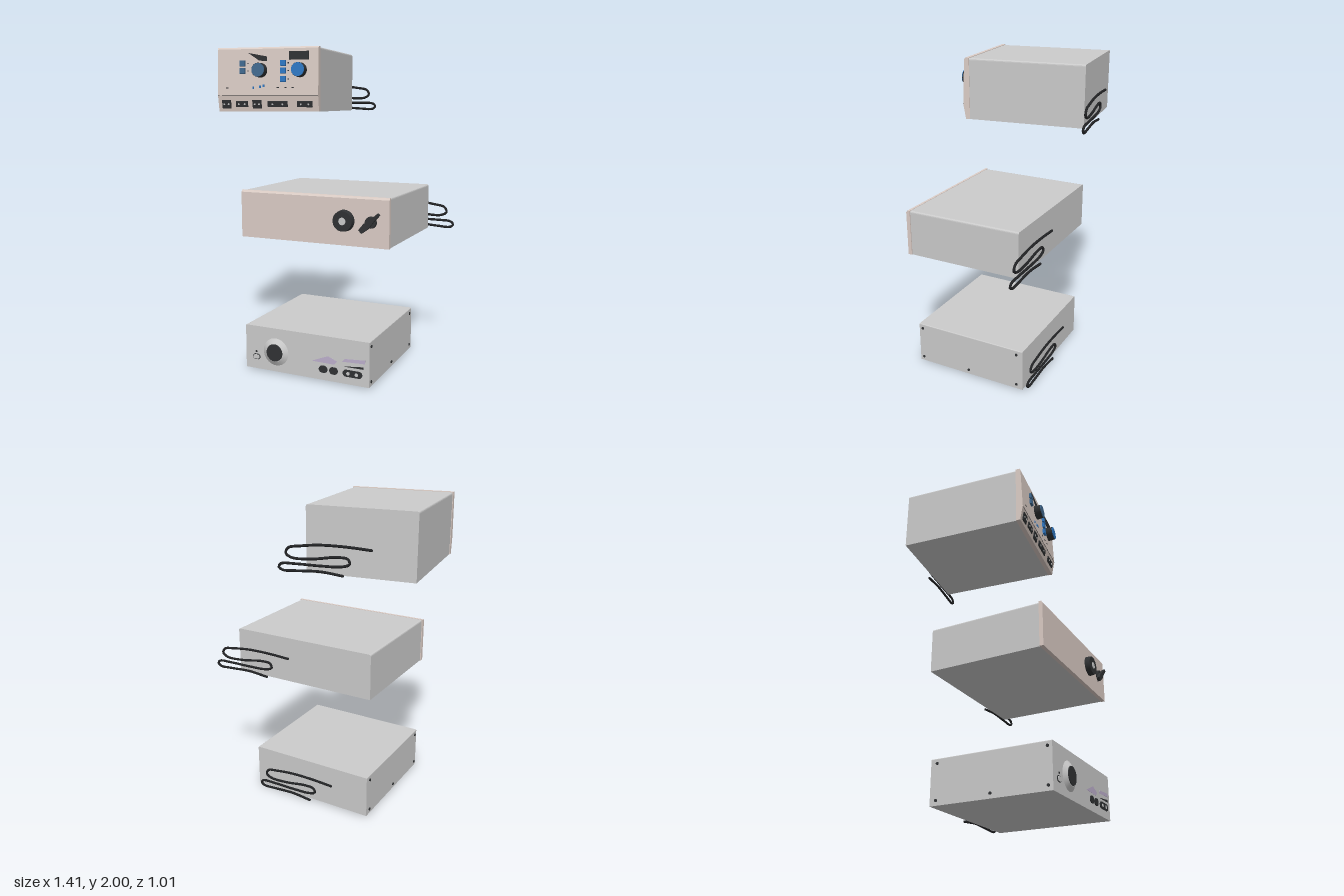
import * as THREE from 'three';

const mat = (color) => new THREE.MeshStandardMaterial({ color });
const GREY = mat(0xcccccc), PANEL = mat(0xdccdc6), DARK = mat(0x303234), BLACK = mat(0x222325);
const BLUE = mat(0x2f78c4), DULL_BLUE = mat(0x416a90), LILAC = mat(0xbdb0cc);

function add(parent, name, geometry, material, x = 0, y = 0, z = 0) {
  const mesh = new THREE.Mesh(geometry, material);
  mesh.name = name;
  mesh.position.set(x, y, z);
  parent.add(mesh);
  return mesh;
}

function group(parent, name, x = 0, y = 0, z = 0, turn = 0) {
  const g = new THREE.Group();
  g.name = name;
  g.position.set(x, y, z);
  g.rotation.y = turn;
  parent.add(g);
  return g;
}

// Cabinet with rounded upper long edges, base at y = 0, back at z = 0
function cabinet(w, h, d, r = 0.012) {
  const s = new THREE.Shape();
  s.moveTo(-w / 2, 0);
  s.lineTo(w / 2, 0);
  s.lineTo(w / 2, h - r);
  s.quadraticCurveTo(w / 2, h, w / 2 - r, h);
  s.lineTo(-w / 2 + r, h);
  s.quadraticCurveTo(-w / 2, h, -w / 2, h - r);
  return new THREE.ExtrudeGeometry(s, { depth: d, bevelEnabled: false, curveSegments: 4 });
}

// Side profile [z, y] swept across the width
function sweptPanel(profile, w) {
  const s = new THREE.Shape(profile.map(([z, y]) => new THREE.Vector2(-z, y)));
  return new THREE.ExtrudeGeometry(s, { depth: w, bevelEnabled: false })
    .rotateY(Math.PI / 2).translate(-w / 2, 0, 0);
}

// Thin plate cut from corner points in the front plane
function plate(points, depth = 0.004) {
  const s = new THREE.Shape(points.map(([x, y]) => new THREE.Vector2(x, y)));
  return new THREE.ExtrudeGeometry(s, { depth, bevelEnabled: false });
}

// Round-ended slab centred on its own origin
function pill(w, h, depth) {
  const s = new THREE.Shape(), r = h / 2, a = w / 2 - r;
  s.absarc(a, 0, r, -Math.PI / 2, Math.PI / 2);
  s.absarc(-a, 0, r, Math.PI / 2, Math.PI * 1.5);
  return new THREE.ExtrudeGeometry(s, { depth, bevelEnabled: false, curveSegments: 10 });
}

// Cylinder or cone frustum pointing forward from z = 0
const disc = (rFront, rBack, depth, sides = 32) =>
  new THREE.CylinderGeometry(rFront, rBack, depth, sides).rotateX(Math.PI / 2).translate(0, 0, depth / 2);

// Folded power lead, starting at its free end
const LEAD = [
  [0, 0.165], [0.15, 0.172], [0.3, 0.17], [0.42, 0.156], [0.495, 0.14], [0.51, 0.108], [0.475, 0.086],
  [0.35, 0.088], [0.2, 0.11], [0.135, 0.105], [0.125, 0.078], [0.17, 0.06], [0.3, 0.053], [0.45, 0.052],
  [0.54, 0.046], [0.557, 0.027], [0.535, 0.01], [0.45, 0.012], [0.3, 0.02], [0.165, 0.008],
];
function addLead(parent, x, y, z, turn = 0) {
  const g = group(parent, 'powerLead', x, y, z, turn);
  const curve = new THREE.CatmullRomCurve3(LEAD.map(([a, b]) => new THREE.Vector3(a, b, 0)), false, 'centripetal');
  add(g, 'lead', new THREE.TubeGeometry(curve, 140, 0.008, 8), BLACK);
  for (const p of [LEAD[0], LEAD[LEAD.length - 1]])
    add(g, 'leadEnd', new THREE.SphereGeometry(0.008, 8, 6), BLACK, p[0], p[1]);
}

function addLowerUnit(root) {
  const g = group(root, 'lowerUnit', 0.018, 0.01, 0);
  add(g, 'case', cabinet(0.836, 0.277, 0.772, 0.006), GREY, 0, 0, -0.288);
  const f = group(g, 'controls', -0.018, -0.01, 0.484);
  // Dial with sloping surround
  add(f, 'dialSurround', disc(0.058, 0.087, 0.018, 40), GREY, -0.187, 0.137);
  add(f, 'dial', disc(0.054, 0.055, 0.006, 40), DARK, -0.187, 0.137, 0.017);
  // Power button with outline and lamp
  add(f, 'buttonRim', pill(0.052, 0.036, 0.003), DARK, -0.325, 0.088);
  add(f, 'button', pill(0.044, 0.028, 0.006), GREY, -0.325, 0.088);
  add(f, 'lamp', disc(0.006, 0.006, 0.004, 12), DARK, -0.325, 0.122);
  // Sockets
  for (const x of [0.138, 0.207]) add(f, 'socket', pill(0.056, 0.044, 0.006), DARK, x, 0.079);
  add(f, 'doubleSocket', pill(0.125, 0.042, 0.006), DARK, 0.33, 0.079);
  for (const x of [0.303, 0.357]) add(f, 'socketPin', disc(0.011, 0.011, 0.008, 16), GREY, x, 0.079);
  // Printed marks
  add(f, 'levelWedge', plate([[0.275, 0.118], [0.4, 0.118], [0.4, 0.132]]), DARK);
  add(f, 'printedMark', plate([[0.06, 0.12], [0.21, 0.118], [0.23, 0.14], [0.17, 0.165], [0.12, 0.145]], 0.001), LILAC);
  add(f, 'printedMark', plate([[0.26, 0.145], [0.41, 0.152], [0.41, 0.175], [0.28, 0.165]], 0.001), LILAC);
  // Case screws on both sides
  for (const side of [-1, 1])
    for (const [z, y] of [[0.457, 0.03], [0.457, 0.247], [-0.246, 0.03], [-0.246, 0.247], [0.106, 0.03]])
      add(g, 'screw', new THREE.CylinderGeometry(0.009, 0.009, 0.008, 12).rotateZ(Math.PI / 2), DARK, side * 0.419, y, z);
  addLead(root, -0.15, 0, -0.308);
}

function addMiddleUnit(root) {
  const g = group(root, 'middleUnit', 0.056, 0.845, 0);
  add(g, 'case', cabinet(0.958, 0.29, 0.745), GREY, 0, 0, -0.31);
  add(g, 'frontPanel', sweptPanel([[0.435, 0], [0.46, 0], [0.46, 0.28], [0.452, 0.292], [0.435, 0.292]], 0.97), PANEL);
  const f = group(g, 'controls', -0.056, 0.148, 0.46);
  add(f, 'volumeKnob', disc(0.06, 0.064, 0.034, 40), DARK, 0.264);
  add(f, 'knobCap', disc(0.022, 0.022, 0.003, 24), GREY, 0.264, 0, 0.034);
  // Selector with diagonal lever
  add(f, 'selectorStem', disc(0.033, 0.035, 0.018, 24), DARK, 0.431);
  const lever = add(f, 'selectorLever', plate([
    [-0.078, -0.014], [-0.03, -0.02], [0.03, -0.011], [0.078, -0.008],
    [0.078, 0.008], [0.03, 0.011], [-0.03, 0.02], [-0.078, 0.014]], 0.02), DARK, 0.431, 0, 0.015);
  lever.rotation.z = 0.76;
  addLead(root, 0.142, 0.845, -0.34);
}

function addUpperUnit(root) {
  const turn = 0.136;
  const g = group(root, 'upperUnit', -0.339, 1.615, -0.028, turn);
  add(g, 'case', cabinet(0.644, 0.382, 0.742), GREY, 0, 0, -0.371);
  // Panel folded outward at a crease above the socket row
  add(g, 'frontPanel', sweptPanel([[0.371, 0], [0.398, 0], [0.415, 0.097], [0.402, 0.375],
    [0.395, 0.385], [0.371, 0.385]], 0.652), PANEL);
  add(g, 'creaseLine', new THREE.BoxGeometry(0.652, 0.003, 0.003), DARK, 0, 0.097, 0.4145);

  // Controls on the tall, slightly leaning face
  const f = group(g, 'controls', 0, 0.097, 0.415);
  f.rotation.x = -0.047;
  for (const [x, cap] of [[-0.043, DULL_BLUE], [0.21, BLUE]]) {
    add(f, 'knob', disc(0.042, 0.044, 0.042, 28), DARK, x, 0.15);
    add(f, 'knobCap', disc(0.04, 0.041, 0.004, 28), cap, x, 0.15, 0.042);
  }
  for (const [x, rows, m] of [[-0.157, [0.192, 0.147], DULL_BLUE], [0.105, [0.192, 0.147, 0.097], BLUE]])
    for (const y of rows) {
      add(f, 'pushButton', new THREE.BoxGeometry(0.034, 0.034, 0.016), m, x, y, 0.006);
      add(f, 'buttonMark', new THREE.BoxGeometry(0.007, 0.007, 0.003), DARK, x + 0.032, y, 0.001);
    }
  add(f, 'display', new THREE.BoxGeometry(0.122, 0.05, 0.008), DARK, 0.205, 0.235, 0.002);
  add(f, 'levelWedge', plate([[-0.122, 0.255], [-0.05, 0.208], [0, 0.205], [0, 0.232]]), DARK);
  for (const [x, y] of [[-0.09, 0.046], [-0.045, 0.052], [-0.022, 0.057]])
    add(f, 'indicator', new THREE.BoxGeometry(0.009, 0.016, 0.005), BLUE, x, y, 0.001);
  for (const x of [-0.262, 0.07, 0.12, 0.165])
    add(f, 'printedMark', new THREE.BoxGeometry(0.014, 0.006, 0.003), DARK, x, 0.046, 0.001);

  // Sockets on the lower face
  const s = group(g, 'socketRow', 0, 0.045, 0.4065);
  s.rotation.x = 0.173;
  for (const [x, w, h] of [[-0.27, 0.058, 0.052], [-0.168, 0.078, 0.036], [-0.068, 0.058, 0.052],
    [0.066, 0.128, 0.036], [0.24, 0.096, 0.036]]) {
    add(s, 'socket', new THREE.BoxGeometry(w, h, 0.008), DARK, x, 0, 0.002);
    for (const k of [-0.25, 0.25])
      add(s, 'socketPin', disc(0.006, 0.006, 0.003, 10), GREY, x + k * w, 0, 0.006);
  }
  addLead(root, -0.47, 1.615, -0.42, turn);
}

export function createModel() {
  const root = new THREE.Group();
  root.name = 'stackedUnits';
  addLowerUnit(root);
  addMiddleUnit(root);
  addUpperUnit(root);
  return root;
}
